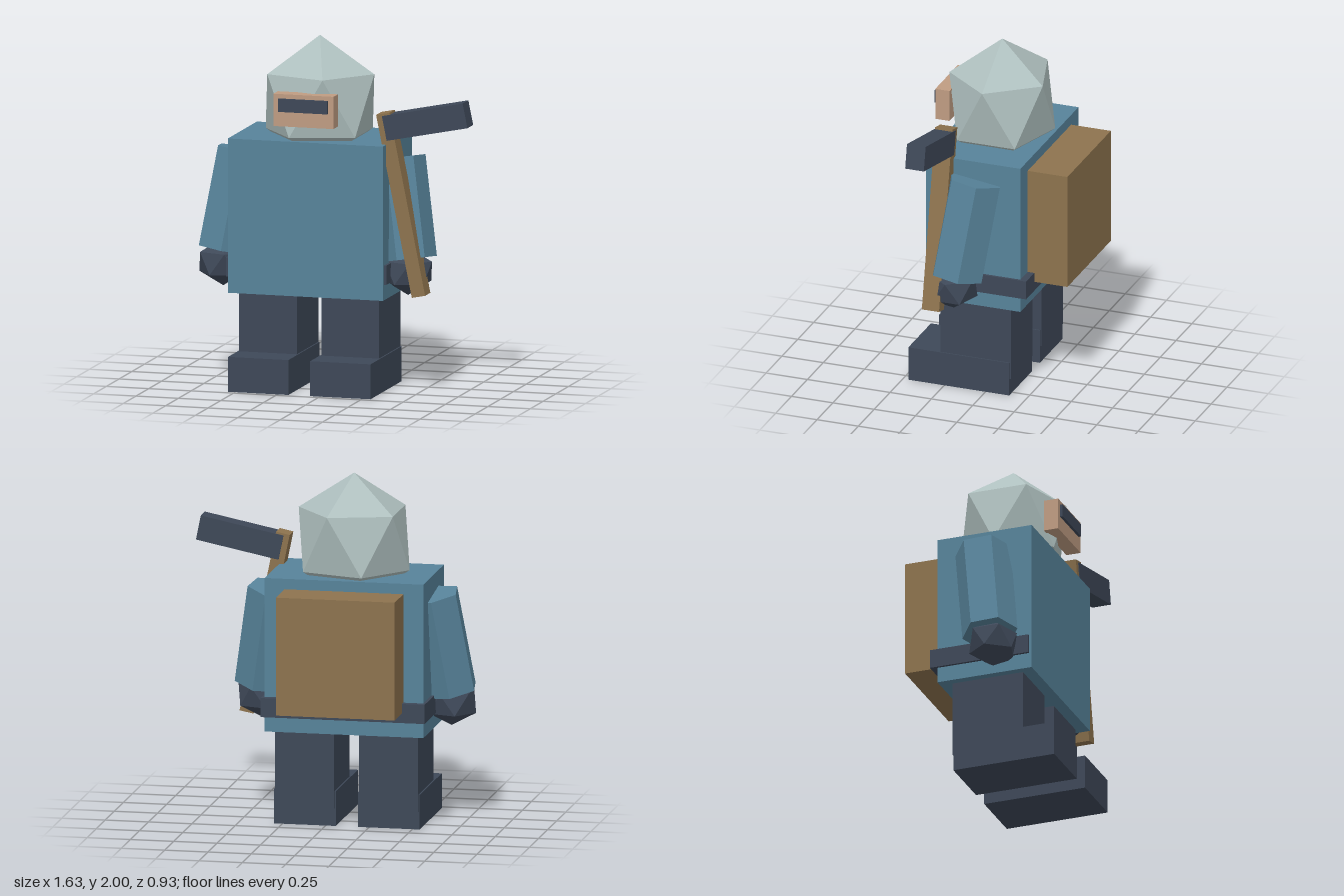
import * as THREE from 'three';
import { ConvexGeometry } from 'three/addons/geometries/ConvexGeometry.js';

const CX = -0.122; // body centre line

export function createModel() {
  const root = new THREE.Group();
  root.name = 'wanderer';

  const mat = (name, color) => {
    const m = new THREE.MeshStandardMaterial({ color });
    m.name = name;
    m.flatShading = true;
    return m;
  };
  const blue = mat('blue cloth', 0x57839a);
  const dark = mat('dark slate', 0x3e4858);
  const brown = mat('brown', 0x8d734e);
  const grey = mat('pale grey', 0xaebfbe);
  const skin = mat('skin', 0xbf9c82);

  const add = (name, geometry, material, x, y, z) => {
    const mesh = new THREE.Mesh(geometry, material);
    mesh.name = name;
    mesh.position.set(x, y, z);
    root.add(mesh);
    return mesh;
  };
  // box given by its extents
  const box = (name, material, x0, x1, y0, y1, z0, z1) =>
    add(name, new THREE.BoxGeometry(x1 - x0, y1 - y0, z1 - z0), material,
      (x0 + x1) / 2, (y0 + y1) / 2, (z0 + z1) / 2);

  // icosahedron standing on a corner, with separate radii
  const gem = (rx, ry, rz) => {
    const pts = [new THREE.Vector3(0, ry, 0), new THREE.Vector3(0, -ry, 0)];
    for (let i = 0; i < 10; i++) {
      const a = (i * Math.PI) / 5;
      const up = i % 2 === 0 ? 1 : -1;
      pts.push(new THREE.Vector3(
        0.8944 * rx * Math.cos(a), 0.4472 * ry * up, 0.8944 * rz * Math.sin(a)));
    }
    return new ConvexGeometry(pts);
  };

  // body, belt and pack
  box('torso', blue, -0.58, 0.335, 0.545, 1.43, -0.225, 0.345);
  box('belt', dark, -0.595, 0.35, 0.635, 0.745, -0.265, 0.33);
  box('backpack', brown, -0.465, 0.22, 0.69, 1.37, -0.465, -0.22);

  // head with face and visor slit
  add('head', gem(0.358, 0.38, 0.332), grey, CX, 1.62, 0.06);
  box('face', skin, -0.296, 0.058, 1.525, 1.71, 0.31, 0.396);
  box('visor', dark, -0.265, 0.025, 1.61, 1.685, 0.35, 0.412);

  for (const s of [-1, 1]) {
    const side = s < 0 ? 'right' : 'left';

    // legs and boots
    const lx = CX + s * 0.242;
    box(side + 'Leg', dark, lx - 0.17, lx + 0.17, 0.1, 0.56, -0.15, 0.275);
    box(side + 'Boot', dark, lx - 0.178, lx + 0.178, 0, 0.2, -0.143, 0.467);

    // six-sided sleeve leaning outward and forward
    const arm = add(side + 'Arm',
      new THREE.CylinderGeometry(0.16, 0.16, 0.578, 6, 1, false, -s * 0.157),
      blue, CX + s * 0.498, 1.036, 0.087);
    arm.rotation.set(-0.135, 0, s * 0.157);

    add(side + 'Hand', gem(0.157, 0.137, 0.15), dark, CX + s * 0.545, 0.687, 0.145);
  }

  // tilted hammer carried at the left hand
  const handle = add('hammerHandle', new THREE.BoxGeometry(0.08, 1.06, 0.104), brown, 0.42, 1.087, 0.231);
  const hammer = add('hammerHead', new THREE.BoxGeometry(0.486, 0.143, 0.113), dark, 0.563, 1.572, 0.231);
  handle.rotation.z = hammer.rotation.z = 0.2;

  return root;
}
